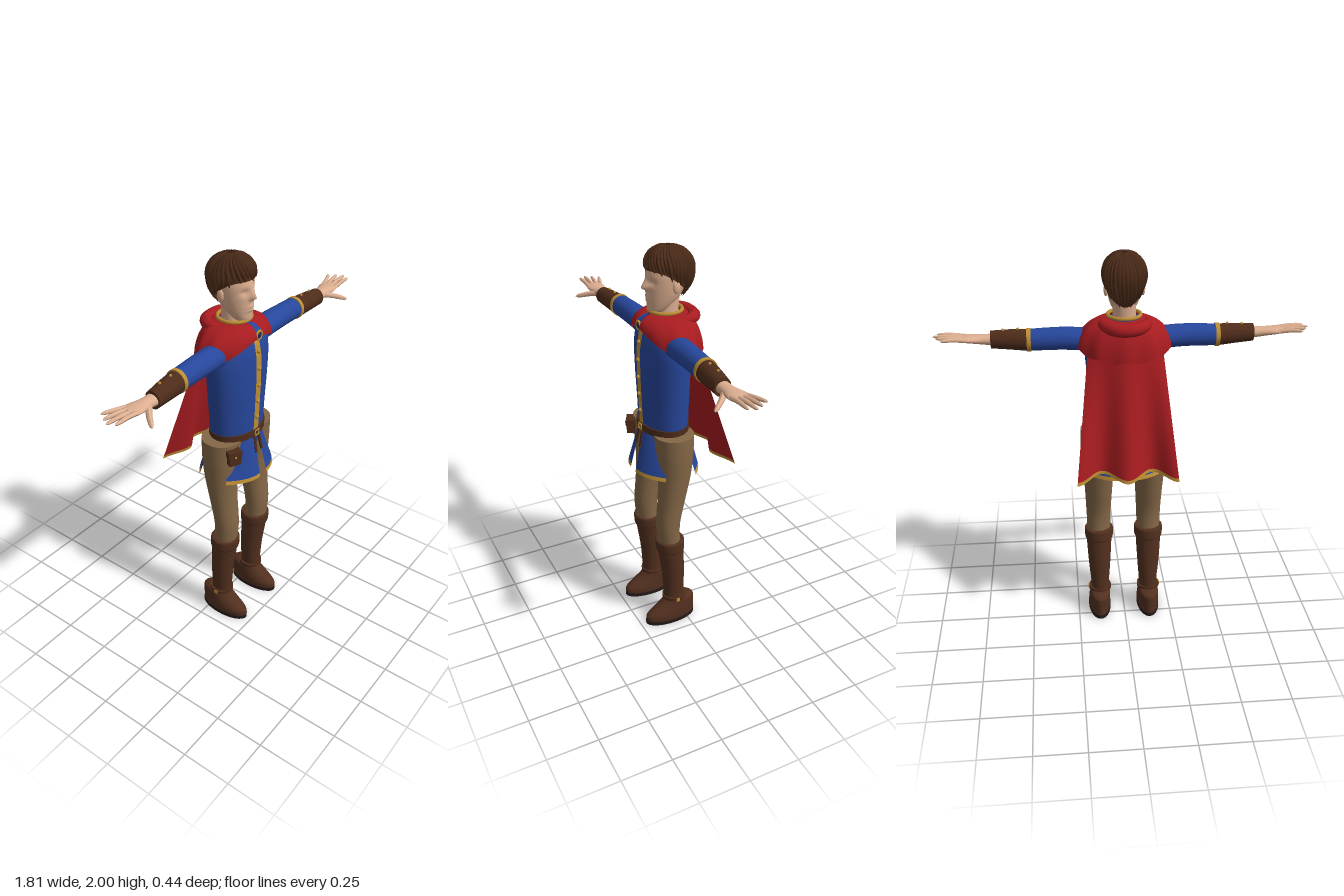
import * as THREE from 'three';
import { mergeGeometries } from 'three/addons/utils/BufferGeometryUtils.js';

const mat = (name, color, side = THREE.FrontSide) => {
  const m = new THREE.MeshStandardMaterial({ color, side });
  m.name = name;
  return m;
};
const lerp = THREE.MathUtils.lerp;

// Grid surface from fn(u, v) -> [x, y, z]; wrap closes it around u
function grid(fn, nu, nv, wrap = false) {
  const pos = [], idx = [], w = wrap ? nu : nu + 1;
  for (let j = 0; j <= nv; j++) for (let i = 0; i < w; i++) pos.push(...fn(i / nu, j / nv));
  for (let j = 0; j < nv; j++) for (let i = 0; i < nu; i++) {
    const a = j * w + i, b = j * w + (i + 1) % w;
    idx.push(a, b, b + w, a, b + w, a + w);
  }
  const g = new THREE.BufferGeometry();
  g.setAttribute('position', new THREE.Float32BufferAttribute(pos, 3));
  g.setIndex(idx);
  g.computeVertexNormals();
  return g;
}

// Smoothly interpolated cross-section [y, cx, rx, cz, rz]
function section(secs, t) {
  const n = secs.length - 1, f = t * n, i = Math.min(Math.floor(f), n - 1), k = f - i;
  const [a, b, c, d] = [i - 1, i, i + 1, i + 2].map(q => secs[Math.max(0, Math.min(n, q))]);
  return b.map((_, q) => b[q] + 0.5 * k * (c[q] - a[q] + k * (2 * a[q] - 5 * b[q] + 4 * c[q] - d[q]
    + k * (3 * (b[q] - c[q]) + d[q] - a[q]))));
}

// Closed body through elliptical sections, lowest first
function loft(secs, nu = 32, steps = 5) {
  const ring = (a, [y, cx, rx, cz, rz]) => [cx + rx * Math.sin(a), y, cz + rz * Math.cos(a)];
  const nv = secs.length === 2 ? 1 : (secs.length - 1) * steps;
  const cap = (s, up) => grid((u, v) => {
    const k = up ? 1 - v : v;
    return ring(u * Math.PI * 2, [s[0], s[1], s[2] * k, s[3], s[4] * k]);
  }, nu, 1, true);
  return mergeGeometries([
    grid((u, v) => ring(u * Math.PI * 2, section(secs, v)), nu, nv, true),
    cap(secs[0], false), cap(secs[secs.length - 1], true)]);
}
const band = (y0, y1, cx, rx, cz, rz) => loft([[y0, cx, rx, cz, rz], [y1, cx, rx, cz, rz]]);

// Tube whose radius follows profile(t)
function taperTube(points, r, profile, n = 12, sides = 8) {
  const path = new THREE.CatmullRomCurve3(points.map(p => new THREE.Vector3(...p)));
  const g = new THREE.TubeGeometry(path, n, r, sides), p = g.attributes.position, v = new THREE.Vector3();
  for (let i = 0; i < p.count; i++) {
    const t = Math.floor(i / (sides + 1)) / n, c = path.getPointAt(t);
    v.fromBufferAttribute(p, i).sub(c).multiplyScalar(profile(t)).add(c);
    p.setXYZ(i, v.x, v.y, v.z);
  }
  g.computeVertexNormals();
  return g;
}
const rounded = t => Math.sqrt(Math.max(0, 1 - t ** 8)) * (1 - 0.25 * t);

export function createModel() {
  const root = new THREE.Group();
  const D = THREE.DoubleSide;
  const skin = mat('skin', 0xdcae90), hair = mat('hair', 0x4a2a18, D), blue = mat('blue cloth', 0x27479c, D),
    red = mat('red cloth', 0xa81c20, D), gold = mat('gold trim', 0xbd8d34, D), tan = mat('tan trousers', 0x846747),
    boot = mat('boot leather', 0x52301f), leather = mat('dark leather', 0x4e2c1a), sole = mat('sole', 0x261a18),
    gem = mat('gem', 0x1c2a50);
  const add = (name, geo, m, parent = root, pos) => {
    const mesh = new THREE.Mesh(geo, m);
    mesh.name = name;
    if (pos) mesh.position.set(...pos);
    parent.add(mesh);
    return mesh;
  };

  // Tunic body
  const torso = [[0.97, 0, 0.11, 0.05, 0.08], [1.1, 0, 0.153, 0.05, 0.108], [1.25, 0, 0.167, 0.051, 0.114],
    [1.4, 0, 0.18, 0.052, 0.118], [1.53, 0, 0.187, 0.052, 0.117], [1.61, 0, 0.165, 0.05, 0.105],
    [1.66, 0, 0.1, 0.04, 0.075], [1.69, 0, 0.07, 0.035, 0.066]];
  add('tunic', loft(torso, 40), blue);
  const frontZ = y => {
    const i = Math.max(1, torso.findIndex(s => s[0] >= y)), a = torso[i - 1], b = torso[i];
    return lerp(a[3] + a[4], b[3] + b[4], (y - a[0]) / (b[0] - a[0]));
  };
  add('placket', grid((u, v) => {
    const y = lerp(1.13, 1.63, v);
    return [(u - 0.5) * 0.038, y, frontZ(y) + 0.006];
  }, 2, 20), gold);
  for (let i = 0; i < 5; i++) {
    const y = 1.21 + i * 0.088;
    add('button', new THREE.SphereGeometry(0.0105, 12, 8), gold, root, [0, y, frontZ(y) + 0.008]);
  }

  // Belt with buckle, tails and pouch
  add('belt', band(1.105, 1.14, 0, 0.162, 0.052, 0.119), leather);
  const buckle = add('buckle', new THREE.TorusGeometry(0.02, 0.004, 8, 4, Math.PI * 2), gold, root, [0, 1.122, 0.174]);
  buckle.rotation.z = Math.PI / 4;
  for (const s of [-1, 1]) {
    const tail = add('beltTail', new THREE.BoxGeometry(0.014, 0.09, 0.008), leather, root, [s * 0.02, 1.065, 0.178]);
    tail.rotation.set(-0.2, 0, s * 0.1);
  }
  const pouch = new THREE.Group();
  pouch.name = 'pouch';
  pouch.position.set(-0.158, 1.05, 0.15);
  pouch.rotation.y = -0.5;
  root.add(pouch);
  add('pouchBody', new THREE.BoxGeometry(0.06, 0.068, 0.045), leather, pouch);
  add('pouchFlap', new THREE.BoxGeometry(0.07, 0.032, 0.053), leather, pouch, [0, 0.025, 0]);
  add('pouchStud', new THREE.SphereGeometry(0.006, 8, 6), gold, pouch, [0, 0.014, 0.028]);

  // Split tunic skirt: four flared panels with trimmed hems
  const panel = (sx, back) => (u, v) => {
    const x = lerp(lerp(back ? 0.004 : 0.014, 0.027, v), lerp(0.125, 0.187, v), u);
    const z = back ? lerp(-0.062, -0.112, v) + 0.075 * u * u : lerp(0.166, 0.217, v) - 0.09 * u * u;
    return [sx * x, 1.12 - 0.23 * v, z];
  };
  for (const sx of [-1, 1]) for (const back of [false, true]) {
    const f = panel(sx, back);
    add('skirtPanel', grid((u, v) => f(u, v * 0.92), 10, 8), blue);
    add('skirtHem', grid((u, v) => f(u, 0.92 + v * 0.08), 10, 1), gold);
  }

  // Cape hanging in waves, with trimmed hem
  const cape = (u, v) => {
    const k = u * 2 - 1;
    return [k * (0.172 + 0.075 * v), 1.6 - 0.655 * v - 0.012 * v * Math.cos(k * Math.PI * 2),
      lerp(-0.078, -0.187, v) - 0.036 * v * Math.cos(k * Math.PI * 2) + 0.055 * (1 - v) * k * k];
  };
  add('cape', grid((u, v) => cape(u, v * 0.975), 48, 24), red);
  add('capeHem', grid((u, v) => cape(u, 0.975 + v * 0.025), 48, 1), gold);

  // Shoulder mantle, open at the throat
  add('mantle', grid((u, v) => {
    const a = lerp(0.1, Math.PI * 2 - 0.1, u), c = Math.cos(a), q = v * Math.PI / 2;
    const front = Math.max(0, c), back = Math.max(0, -c);
    const edge = 1.56 + 0.075 * front ** 4 - 0.05 * back + 0.008 * Math.cos(a * 10) * (1 - front);
    const ripple = 1 + 0.03 * v * v * Math.cos(a * 10) * (1 - front);
    const rx = lerp(0.075, 0.222, Math.sin(q)) * ripple, rz = lerp(0.078, 0.15, Math.sin(q)) * ripple;
    return [rx * Math.sin(a), lerp(edge, 1.692, Math.cos(q)), 0.03 + rz * c];
  }, 96, 12), red);
  add('foldedHood', taperTube([[-0.085, 1.675, 0.05], [-0.105, 1.672, -0.02], [-0.06, 1.668, -0.082], [0, 1.665, -0.095],
    [0.06, 1.668, -0.082], [0.105, 1.672, -0.02], [0.085, 1.675, 0.05]], 0.032,
  t => Math.sqrt(Math.sin(Math.PI * t) + 0.01), 32, 12), red);
  const collar = add('collarTrim', new THREE.TorusGeometry(0.078, 0.009, 8, 40), gold, root, [0, 1.702, 0.035]);
  collar.rotation.x = Math.PI / 2;
  add('clasp', new THREE.TorusGeometry(0.02, 0.006, 8, 20), gold, root, [0, 1.643, 0.172]);
  const stone = add('claspGem', new THREE.SphereGeometry(0.017, 14, 10), gem, root, [0, 1.643, 0.171]);
  stone.scale.z = 0.5;

  // Head with sculpted face
  add('neck', loft([[1.65, 0, 0.062, 0.03, 0.06], [1.7, 0, 0.055, 0.028, 0.055], [1.8, 0, 0.056, 0.02, 0.055]]), skin);
  const head = loft([[1.694, 0, 0.022, 0.088, 0.024], [1.708, 0, 0.042, 0.077, 0.045], [1.74, 0, 0.06, 0.058, 0.067],
    [1.78, 0, 0.073, 0.043, 0.085], [1.83, 0, 0.082, 0.034, 0.096], [1.88, 0, 0.086, 0.027, 0.1],
    [1.93, 0, 0.078, 0.022, 0.09], [1.97, 0, 0.05, 0.02, 0.055]], 64, 8);
  const hp = head.attributes.position, bump = (d, s) => Math.exp(-((d / s) ** 2));
  for (let i = 0; i < hp.count; i++) {
    const x = hp.getX(i), y = hp.getY(i), z = hp.getZ(i);
    if (z < 0.05) continue;
    hp.setZ(i, z - 0.011 * bump(Math.abs(x) - 0.034, 0.018) * bump(y - 1.845, 0.015)
      + 0.026 * bump(x, 0.013) * bump(y - 1.817, y > 1.817 ? 0.034 : 0.011)
      + 0.006 * bump(x, 0.022) * (bump(y - 1.772, 0.007) + bump(y - 1.755, 0.007)));
  }
  head.computeVertexNormals();
  add('head', head, skin);
  for (const s of [-1, 1]) {
    const ear = add('ear', new THREE.SphereGeometry(0.03, 14, 10), skin, root, [s * 0.086, 1.825, 0.02]);
    ear.scale.set(0.35, 1, 0.6);
  }

  // Hair: scalp shell and overlapping locks swept from the crown
  const scalp = (a, t, lift = 0) => {
    const phi = t * (1.48 + ((1 - Math.cos(a)) / 2) ** 1.6), s = Math.sin(phi), c = Math.cos(phi);
    return [(0.094 + lift) * s * Math.sin(a), 1.89 + (c > 0 ? 0.102 + lift : 0.165) * c,
      0.02 + (0.112 + lift) * s * Math.cos(a)];
  };
  add('scalpHair', grid((u, v) => scalp(u * Math.PI * 2, 1 - v), 40, 16, true), hair);
  for (let i = 0; i < 34; i++) {
    const a = i / 34 * Math.PI * 2, end = 1.0 + 0.06 * Math.sin(i * 2.4), sweep = 0.35 * Math.max(0, Math.cos(a)) + 0.08;
    const pts = [0.06, 0.3, 0.55, 0.8, end].map(t => scalp(a + sweep * (t - 0.4) * 1.6, t, 0.002));
    add('hairLock', taperTube(pts, 0.0135, t => 0.25 + 0.85 * Math.sin(Math.PI * Math.min(1, t * 0.82 + 0.1)) - 0.45 * t ** 6,
      14, 6), hair);
  }

  // Arms and legs, built on the left and mirrored
  for (const s of [1, -1]) {
    const limb = new THREE.Group();
    limb.name = s > 0 ? 'leftLimbs' : 'rightLimbs';
    limb.scale.x = s;
    root.add(limb);
    const along = g => g.rotateZ(-Math.PI / 2);

    add('sleeve', along(loft([[0.1, -1.57, 0.05, 0.055, 0.06], [0.18, -1.577, 0.054, 0.058, 0.06],
      [0.3, -1.582, 0.054, 0.064, 0.055], [0.45, -1.578, 0.052, 0.066, 0.05]])), blue, limb);
    add('sleeveTrim', along(band(0.44, 0.46, -1.578, 0.056, 0.067, 0.054)), gold, limb);
    add('bracer', along(loft([[0.455, -1.577, 0.052, 0.068, 0.05], [0.54, -1.579, 0.048, 0.077, 0.046],
      [0.63, -1.578, 0.042, 0.086, 0.04]])), leather, limb);
    for (const x of [0.5, 0.57])
      add('bracerStud', new THREE.SphereGeometry(0.007, 8, 6), gold, limb, [x, 1.63 - (x - 0.5) * 0.05, 0.075]);
    add('palm', along(loft([[0.61, -1.578, 0.029, 0.085, 0.034], [0.67, -1.581, 0.023, 0.084, 0.033],
      [0.735, -1.587, 0.017, 0.082, 0.046], [0.775, -1.59, 0.011, 0.08, 0.042]], 24)), skin, limb);
    [[0.86, 0.015], [0.885, 0.052], [0.903, 0.085], [0.885, 0.118]].forEach(([x, z], i) =>
      add('finger', taperTube([[0.745, 1.588, 0.051 + i * 0.021], [0.81, 1.597, lerp(0.049 + i * 0.021, z, 0.45)],
        [x, 1.599, z]], 0.0115, rounded), skin, limb));
    add('thumb', taperTube([[0.67, 1.578, 0.1], [0.715, 1.565, 0.142], [0.757, 1.547, 0.193]], 0.015, rounded), skin, limb);

    add('trouserLeg', loft([[0.46, 0.132, 0.06, 0.08, 0.055], [0.6, 0.132, 0.064, 0.09, 0.06],
      [0.75, 0.131, 0.071, 0.07, 0.069], [0.88, 0.131, 0.079, 0.054, 0.081], [1.0, 0.126, 0.092, 0.05, 0.092],
      [1.11, 0.119, 0.099, 0.05, 0.098]]), tan, limb);
    add('bootShaft', loft([[0.1, 0.132, 0.047, 0.055, 0.054], [0.16, 0.131, 0.047, 0.058, 0.054],
      [0.3, 0.132, 0.058, 0.062, 0.059], [0.42, 0.132, 0.065, 0.073, 0.065], [0.5, 0.132, 0.069, 0.079, 0.069]]), boot, limb);
    add('bootCuff', loft([[0.452, 0.132, 0.069, 0.077, 0.069], [0.462, 0.132, 0.074, 0.078, 0.073],
      [0.505, 0.132, 0.075, 0.08, 0.074], [0.514, 0.132, 0.07, 0.08, 0.07]]), boot, limb);
    add('ankleStrap', band(0.133, 0.151, 0.132, 0.06, 0.057, 0.06), leather, limb);
    add('strapBuckle', new THREE.BoxGeometry(0.006, 0.018, 0.018), gold, limb, [0.192, 0.142, 0.06]);
    add('foot', loft([[0.018, 0.134, 0.057, 0.081, 0.137], [0.045, 0.134, 0.058, 0.08, 0.136],
      [0.07, 0.134, 0.057, 0.064, 0.12], [0.1, 0.133, 0.055, 0.042, 0.098], [0.125, 0.132, 0.053, 0.032, 0.083],
      [0.14, 0.132, 0.044, 0.045, 0.06]]), boot, limb);
    add('sole', band(0, 0.02, 0.134, 0.06, 0.081, 0.139), sole, limb);
  }
  return root;
}
